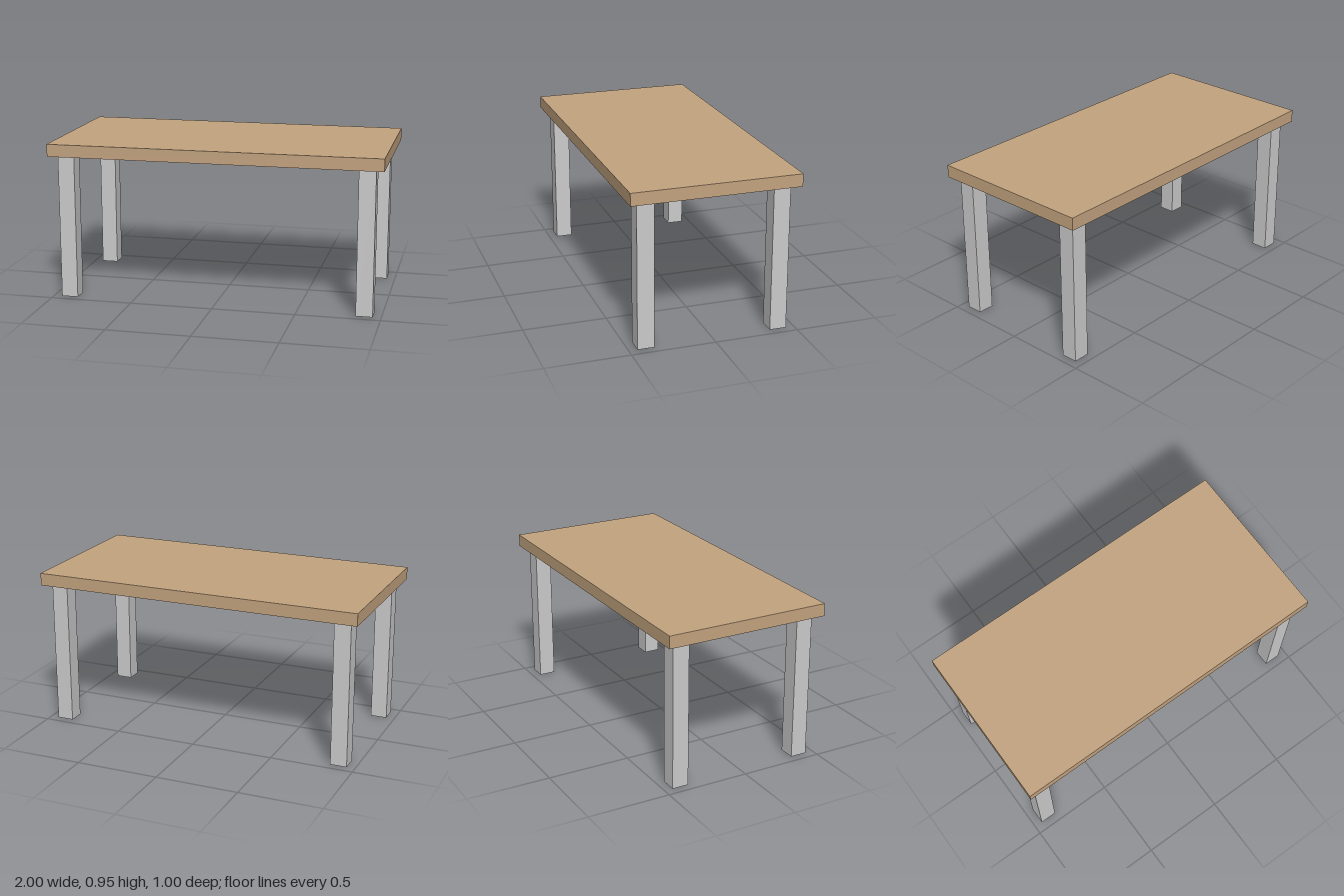
import * as THREE from 'three';

export function createModel() {
  const table = new THREE.Group();
  table.name = 'table';

  const wood = new THREE.MeshStandardMaterial({ color: 0xc3a37f });
  const grey = new THREE.MeshStandardMaterial({ color: 0xcccccc });

  const legHeight = 0.875;
  const topThickness = 0.075;

  // Tabletop slab
  const top = new THREE.Mesh(new THREE.BoxGeometry(2, topThickness, 1), wood);
  top.name = 'tabletop';
  top.position.y = legHeight + topThickness / 2;
  table.add(top);

  // Four square legs, set in from the corners
  const legGeometry = new THREE.BoxGeometry(0.1, legHeight, 0.1);
  for (const [side, x] of [['Left', 0.9], ['Right', -0.9]]) {
    for (const [end, z] of [['front', 0.4], ['back', -0.4]]) {
      const leg = new THREE.Mesh(legGeometry, grey);
      leg.name = `${end}${side}Leg`;
      leg.position.set(x, legHeight / 2, z);
      table.add(leg);
    }
  }

  return table;
}
